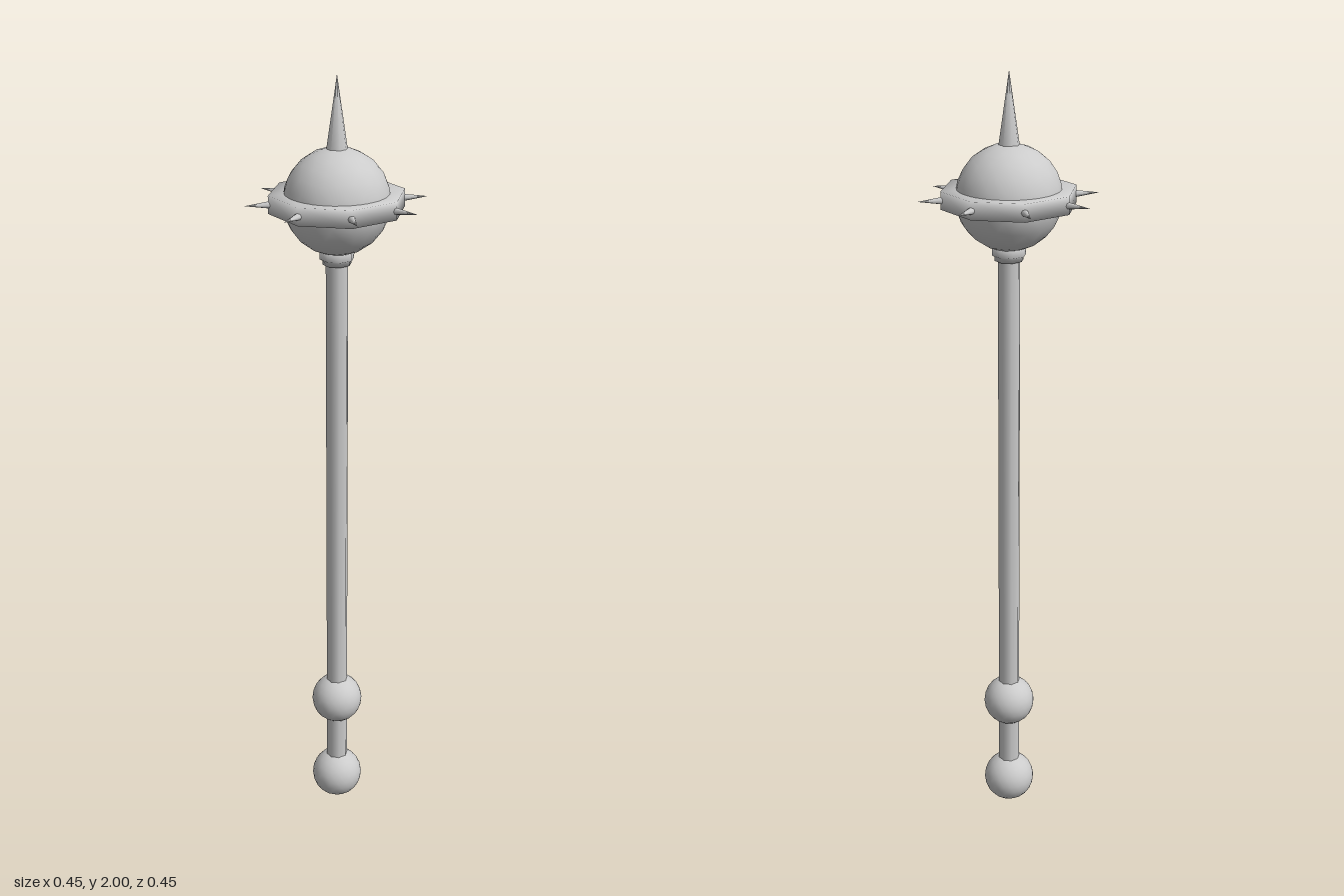
import * as THREE from 'three';

const material = new THREE.MeshStandardMaterial({ color: 0xcccccc });
const HEAD_Y = 1.697;

function add(parent, name, geometry, y = 0) {
  const mesh = new THREE.Mesh(geometry, material);
  mesh.name = name;
  mesh.position.y = y;
  parent.add(mesh);
  return mesh;
}

// Smooth icosphere with a vertex at each pole
function ball(radius) {
  const tilt = Math.atan(2 / (1 + Math.sqrt(5)));
  return new THREE.IcosahedronGeometry(radius, 3).rotateZ(-tilt);
}

// Eight-sided turned solid from [radius, height] pairs, bottom to top
function turned(pairs) {
  return new THREE.LatheGeometry(pairs.map(([r, y]) => new THREE.Vector2(r, y)), 8);
}

export function createModel() {
  const model = new THREE.Group();
  model.name = 'spikedMace';

  // Handle: shaft with two grip balls
  add(model, 'shaft', new THREE.CylinderGeometry(0.028, 0.028, 1.5, 8), 0.82);
  add(model, 'pommel', ball(0.067), 0.067);
  add(model, 'gripBall', ball(0.067), 0.308);

  // Collar where the shaft meets the head
  add(model, 'collar', turned([
    [0.02, 1.541], [0.036, 1.541], [0.036, 1.551], [0.043, 1.555], [0.043, 1.58], [0.02, 1.58],
  ]));

  // Head with its octagonal band
  add(model, 'head', ball(0.131), HEAD_Y);
  add(model, 'band', turned([
    [0.11, -0.022], [0.168, -0.022], [0.168, 0.022], [0.11, 0.022],
  ]), HEAD_Y);

  // Tall spike on top
  add(model, 'topSpike', new THREE.ConeGeometry(0.028, 0.19, 8), 1.905);

  // One small spike on each corner of the band
  const spikes = new THREE.Group();
  spikes.name = 'bandSpikes';
  spikes.position.y = HEAD_Y;
  model.add(spikes);
  const spike = new THREE.ConeGeometry(0.011, 0.075, 8)
    .rotateX(Math.PI / 2)
    .translate(0, 0, 0.1875);
  for (let i = 0; i < 8; i++) {
    add(spikes, 'bandSpike', spike).rotation.y = (i * Math.PI) / 4;
  }

  return model;
}
